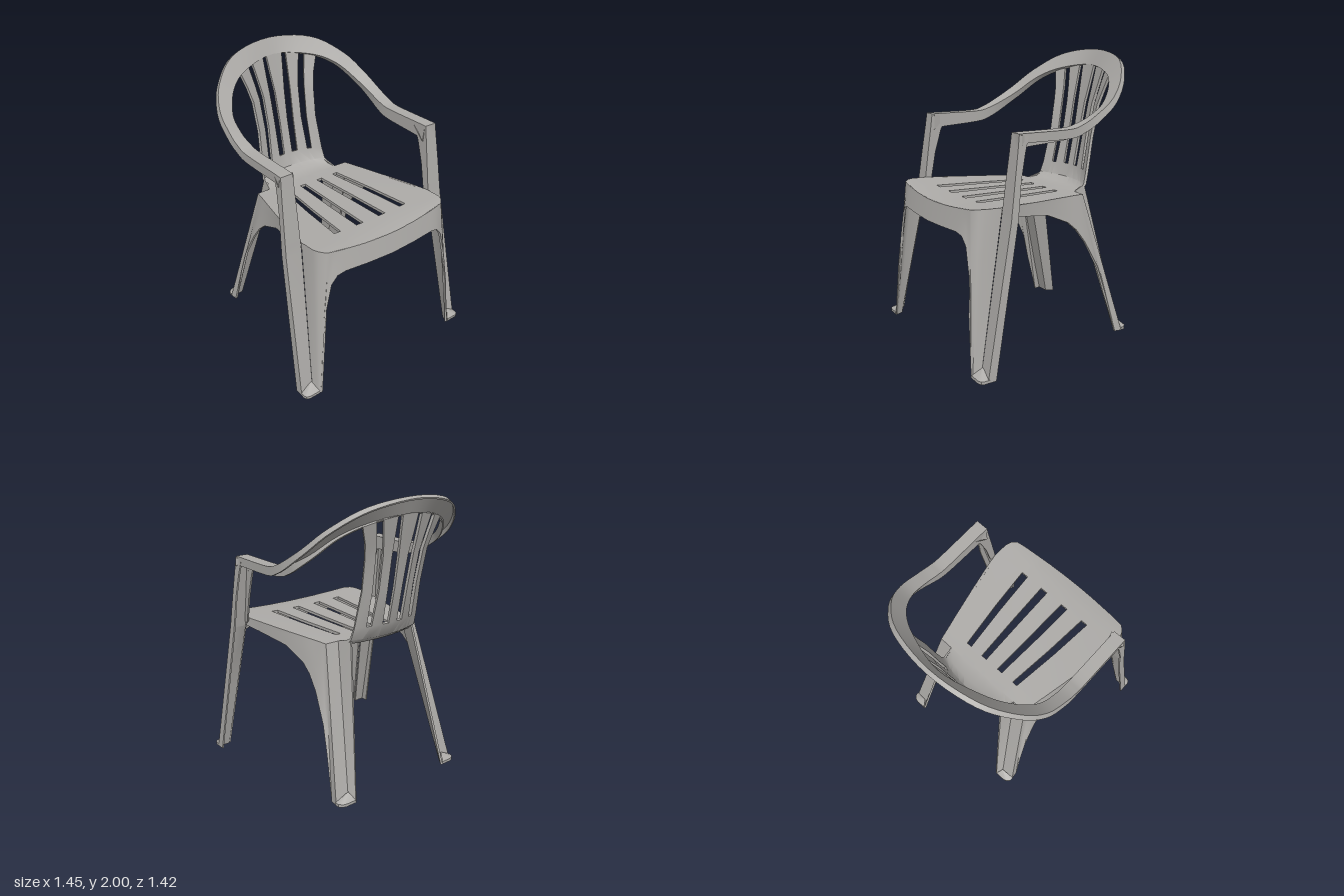
import * as THREE from 'three';
import { toCreasedNormals } from 'three/addons/utils/BufferGeometryUtils.js';

const plastic = new THREE.MeshStandardMaterial({ color: 0xadaba8, side: THREE.DoubleSide });
plastic.name = 'grey plastic';

const lerp = THREE.MathUtils.lerp;
const mix = (a, b, t) => a.map((v, i) => lerp(v, b[i], t));
const mirrorRows = rows => rows.map(r => r.map(([x, y, z]) => [-x, y, z])).reverse();

// Skin a grid of points, leaving out skipped cells, and thicken it behind its face.
function sheet(name, rows, thickness = 0, skip = () => false) {
  const n = rows[0].length, tris = [];
  for (let i = 0; i < rows.length - 1; i++) {
    for (let j = 0; j < n - 1; j++) {
      if (skip(i, j)) continue;
      const a = i * n + j, b = a + 1, c = b + n, d = a + n;
      tris.push([a, b, d], [b, c, d]);
    }
  }
  let geo = new THREE.BufferGeometry();
  const pos = rows.flat(2);
  geo.setAttribute('position', new THREE.Float32BufferAttribute(pos, 3));
  geo.setIndex(tris.flat());
  if (thickness) {
    geo.computeVertexNormals();
    const normal = geo.attributes.normal.array;
    const count = pos.length / 3;
    const all = pos.concat(pos.map((v, k) => v - normal[k] * thickness));
    const index = tris.flat();
    const edges = new Set();
    for (const [a, b, c] of tris) {
      index.push(a + count, c + count, b + count);
      edges.add(a + '_' + b).add(b + '_' + c).add(c + '_' + a);
    }
    // walls along every open edge
    for (const e of edges) {
      const [a, b] = e.split('_').map(Number);
      if (!edges.has(b + '_' + a)) index.push(b, a, a + count, b, a + count, b + count);
    }
    geo = new THREE.BufferGeometry();
    geo.setAttribute('position', new THREE.Float32BufferAttribute(all, 3));
    geo.setIndex(index);
  }
  const mesh = new THREE.Mesh(toCreasedNormals(geo, 0.6), plastic);
  mesh.name = name;
  return mesh;
}

// Ruled rows from [bottom, top] point pairs.
const ruled = (pairs, steps = 4) => pairs.map(([lo, hi]) =>
  Array.from({ length: steps + 1 }, (_, k) => mix(lo, hi, k / steps)));

// Seat and backrest: one slotted sheet, front edge to top of back.
function seatAndBack() {
  const S = [0.125, 0.228, 0.47, 0.565], B = [0.13, 0.3, 0.6, 0.72];
  // half width, z, z change at edge, y, y change at edge, slot edges
  const rows = [
    [0.50, 0.675, -0.04, 1.03, 0.03, S],
    [0.535, 0.62, -0.02, 1.037, 0.028, S],
    [0.55, 0.56, 0, 1.04, 0.025, S],
    [0.553, 0.475, 0, 1.04, 0.022, S],
    [0.50, 0.15, 0, 1.034, 0.013, S],
    [0.422, -0.2, 0, 1.028, 0.003, S],
    [0.40, -0.3, 0, 1.025, 0, S],
    [0.30, -0.302, 0, 1.025, 0, B],
    [0.285, -0.395, 0.03, 1.03, 0.005, B],
    [0.278, -0.45, 0.05, 1.065, 0, B],
    [0.268, -0.488, 0.065, 1.155, -0.01, B],
    [0.25, -0.535, 0.06, 1.4, 0, [0.13, 0.33, 0.58, 0.74]],
    [0.262, -0.575, 0.06, 1.62, 0, [0.15, 0.34, 0.58, 0.75]],
    [0.285, -0.602, 0.06, 1.74, -0.02, [0.18, 0.33, 0.6, 0.75]],
    [0.325, -0.635, 0.07, 1.89, -0.055, [0.2, 0.3, 0.61, 0.74]],
  ];
  const grid = rows.map(([hw, z, dz, y, dy, s]) => {
    const half = [...s, 1];
    return [...half.map(u => -u).reverse(), 0, ...half]
      .map(u => [u * hw, y + dy * u * u, z + dz * u * u]);
  });
  const slotColumns = [1, 3, 6, 8];
  return sheet('seatAndBackrest', grid, 0.02, (i, j) =>
    slotColumns.includes(j) && ((i >= 3 && i < 5) || i >= 10));
}

// Front legs, armrests and back hoop: one channel ribbon.
function armHoop() {
  // outer xyz, inner xyz, outer flange depth, inner flange depth
  const foot = [0.725, 0, 0.655, 0.635, 0, 0.655, 0.06, 0.012];
  const seatLevel = [0.68, 1.0, 0.455, 0.56, 1.0, 0.455, 0.05, 0.012];
  const leg = [foot, mix(foot, seatLevel, 0.5), seatLevel,
    [0.677, 1.05, 0.448, 0.56, 1.05, 0.448, 0.05, 0.05],
    [0.667, 1.25, 0.42, 0.56, 1.25, 0.42, 0.045, 0.06],
    [0.657, 1.42, 0.395, 0.56, 1.42, 0.395, 0.055, 0.085]];
  const arm = [
    [0.65, 1.53, 0.38, 0.56, 1.53, 0.38, 0.07, 0.12],
    [0.65, 1.53, 0.3, 0.56, 1.53, 0.3, 0.06, 0.1],
    [0.65, 1.53, 0, 0.56, 1.53, 0, 0.06, 0.08],
    [0.65, 1.553, -0.1, 0.56, 1.548, -0.1, 0.055, 0.07],
    [0.645, 1.6, -0.2, 0.56, 1.585, -0.2, 0.05, 0.06],
    [0.62, 1.7, -0.36, 0.535, 1.66, -0.34, 0.04, 0.045],
    [0.53, 1.83, -0.5, 0.44, 1.775, -0.47, 0.035, 0.035],
    [0.33, 1.955, -0.63, 0.28, 1.85, -0.565, 0.035, 0.03],
  ];
  const top = [0, 2, -0.685, 0, 1.89, -0.635, 0.03, 0.02];
  const flip = list => list.map(([a, b, c, d, ...r]) => [-a, b, c, -d, ...r]).reverse();
  const keys = [...arm, top, ...flip(arm)];
  const curve = (k, last) => new THREE.CatmullRomCurve3(
    keys.map(s => new THREE.Vector3(s[k], s[k + 1], last ?? s[k + 2])), false, 'catmullrom', 0.5);
  const curves = [curve(0), curve(3), curve(6, 0)];
  const hoop = Array.from({ length: 81 }, (_, i) => {
    const [o, n, d] = curves.map(c => c.getPoint(i / 80));
    return [...o.toArray(), ...n.toArray(), d.x, d.y];
  });
  const stations = [...leg, ...hoop, ...flip(leg)];
  const vec = (s, k) => new THREE.Vector3(s[k], s[k + 1], s[k + 2]);
  const mid = s => vec(s, 0).add(vec(s, 3)).multiplyScalar(0.5);
  const rows = stations.map((s, i) => {
    const before = stations[Math.max(i - 1, 0)];
    const after = stations[Math.min(i + 1, stations.length - 1)];
    const along = mid(after).sub(mid(before));
    const outer = vec(s, 0), inner = vec(s, 3);
    const down = inner.clone().sub(outer).cross(along).normalize();
    if (i === 0 || i === stations.length - 1) down.set(0, 0, -1);
    return [inner.clone().addScaledVector(down, s[7]), inner, outer,
      outer.clone().addScaledVector(down, s[6])].map(p => p.toArray());
  });
  return sheet('armrestsAndHoop', rows, 0.012);
}

// Front apron running down into the inner faces of the front legs.
function frontApron() {
  const half = [
    [[0.635, 0, 0.655], [0.555, 1.06, 0.445]],
    [[0.622, 0, 0.69], [0.55, 1.065, 0.56]],
    [[0.616, 0, 0.705], [0.535, 1.065, 0.6]],
    [[0.605, 0, 0.71], [0.5, 1.06, 0.635]],
    [[0.57, 0.4, 0.69], [0.485, 1.058, 0.638]],
    [[0.53, 0.65, 0.675], [0.47, 1.056, 0.641]],
    [[0.485, 0.83, 0.67], [0.45, 1.054, 0.644]],
    [[0.44, 0.885, 0.675], [0.42, 1.051, 0.648]],
    [[0.38, 0.9, 0.682], [0.38, 1.047, 0.653]],
    [[0.2, 0.895, 0.697], [0.2, 1.035, 0.669]],
  ];
  const rows = ruled(half);
  const centre = ruled([[[0, 0.89, 0.703], [0, 1.03, 0.675]]]);
  return sheet('frontApron', [...rows, ...centre, ...mirrorRows(rows)], 0.015);
}

// Back leg with re-entrant corner, continuing into the side skirt.
const backLegRows = ruled([
  [[0.413, 0, -0.63], [0.278, 1.06, -0.405]],
  [[0.44, 0, -0.585], [0.3, 1.025, -0.302]],
  [[0.535, 0, -0.575], [0.4, 1.025, -0.3]],
  [[0.53, 0, -0.52], [0.403, 1.025, -0.285]],
  [[0.505, 0.3, -0.44], [0.408, 1.026, -0.265]],
  [[0.49, 0.5, -0.38], [0.413, 1.028, -0.24]],
  [[0.472, 0.7, -0.275], [0.424, 1.03, -0.19]],
  [[0.466, 0.8, -0.2], [0.434, 1.033, -0.15]],
  [[0.466, 0.86, -0.13], [0.445, 1.036, -0.1]],
  [[0.485, 0.94, 0.05], [0.478, 1.042, 0.05]],
  [[0.53, 0.98, 0.32], [0.53, 1.055, 0.3]],
  [[0.558, 1.0, 0.44], [0.555, 1.06, 0.445]],
]);

// Foot: sloped wedge filling the outer corner of a leg.
function footRows([ax, az], rim) {
  return [
    rim.map(() => [ax, 0.07, az]),
    rim.map(([x, z]) => [x, 0.02, z]),
    rim.map(([x, z]) => [x, 0, z]),
    rim.map(() => [ax, 0, az]),
  ];
}

export function createModel() {
  const chair = new THREE.Group();
  chair.name = 'armchair';
  chair.add(seatAndBack(), armHoop(), frontApron());
  const frontFoot = footRows([0.638, 0.643],
    [[0.725, 0.64], [0.726, 0.68], [0.718, 0.7], [0.695, 0.71], [0.612, 0.71]]);
  const backFoot = footRows([0.438, -0.58],
    [[0.413, -0.63], [0.49, -0.63], [0.515, -0.622], [0.536, -0.6], [0.538, -0.57]]);
  for (const [side, mirror] of [['left', r => r], ['right', mirrorRows]]) {
    chair.add(
      sheet(side + 'BackLegAndSkirt', mirror(backLegRows), 0.015),
      sheet(side + 'FrontFoot', mirror(frontFoot)),
      sheet(side + 'BackFoot', mirror(backFoot)));
  }
  return chair;
}
